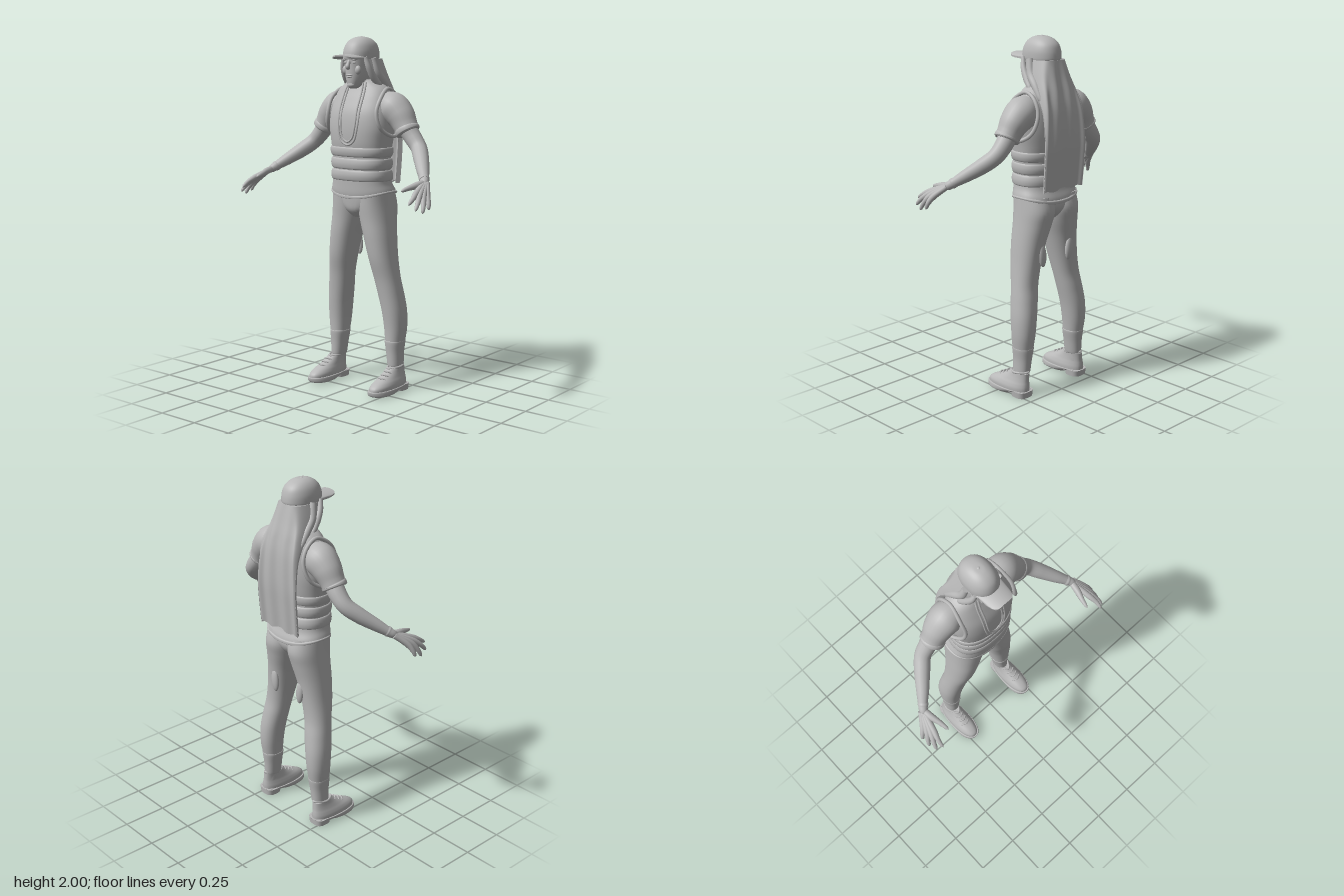
import * as THREE from 'three';

const grey = new THREE.MeshStandardMaterial({ color: 0xb8b8b8 });
grey.name = 'plain grey';

// Smooth interpolation through a list of equal-length rows
function sampleRows(rows, t) {
  const n = rows.length - 1, f = Math.min(t * n, n - 1e-6), i = Math.floor(f), u = f - i;
  const at = k => rows[Math.max(0, Math.min(n, k))];
  return rows[0].map((_, c) => {
    const a = at(i - 1)[c], b = at(i)[c], d = at(i + 1)[c], e = at(i + 2)[c];
    return b + 0.5 * u * (d - a + u * (2 * a - 5 * b + 4 * d - e + u * (3 * (b - d) + e - a)));
  });
}

// Skin a list of rings (counter-clockwise around the direction of travel), with caps
function skin(rings) {
  const pos = [], idx = [], n = rings[0].length, last = rings.length - 1;
  rings.forEach(r => r.forEach(p => pos.push(p.x, p.y, p.z)));
  for (let j = 0; j < last; j++) for (let i = 0; i < n; i++) {
    const a = j * n + i, b = j * n + (i + 1) % n;
    idx.push(a, b, a + n, b, b + n, a + n);
  }
  for (const j of [0, last]) {
    const base = pos.length / 3, c = new THREE.Vector3();
    rings[j].forEach(p => { pos.push(p.x, p.y, p.z); c.addScaledVector(p, 1 / n); });
    pos.push(c.x, c.y, c.z);
    for (let i = 0; i < n; i++) {
      const a = base + i, b = base + (i + 1) % n;
      if (j) idx.push(a, b, base + n); else idx.push(b, a, base + n);
    }
  }
  const g = new THREE.BufferGeometry();
  g.setAttribute('position', new THREE.Float32BufferAttribute(pos, 3));
  g.setIndex(idx);
  g.computeVertexNormals();
  return g;
}

// Upright form from rows [y, x0, x1, zBack, zFront]; s mirrors it
function loft(rows, { s = 1, p = 2.2, seg = 36, sub = 5, bend = null } = {}) {
  const rings = [], steps = (rows.length - 1) * sub;
  for (let k = 0; k <= steps; k++) {
    const [y, x0, x1, z0, z1] = sampleRows(rows, k / steps), ring = [];
    for (let i = 0; i < seg; i++) {
      const a = i / seg * Math.PI * 2, c = Math.cos(a), d = -Math.sin(a);
      const ex = Math.sign(c) * Math.abs(c) ** (2 / p), ez = Math.sign(d) * Math.abs(d) ** (2 / p);
      ring.push(new THREE.Vector3(s * (x0 + x1) / 2 + ex * (x1 - x0) / 2,
        y + (bend ? bend(ex, y) : 0), (z0 + z1) / 2 + ez * (z1 - z0) / 2));
    }
    rings.push(ring);
  }
  return skin(rings);
}

// Round limb through points [x, y, z, radius]
function limb(pts, s = 1, round = true, seg = 16) {
  const curve = new THREE.CatmullRomCurve3(pts.map(q => new THREE.Vector3(q[0] * s, q[1], q[2])));
  const steps = (pts.length - 1) * 7, rings = [], up = new THREE.Vector3(0.1, 0.3, 1);
  for (let k = 0; k <= steps; k++) {
    const t = k / steps, c = curve.getPoint(t), T = curve.getTangent(t);
    const N = up.clone().addScaledVector(T, -up.dot(T)).normalize(), B = T.clone().cross(N);
    const end = Math.max(0, (t - 0.86) / 0.14);
    const r = sampleRows(pts, t)[3] * (round ? Math.sqrt(Math.max(0.03, 1 - end * end)) : 1);
    rings.push(Array.from({ length: seg }, (_, i) => {
      const a = i / seg * Math.PI * 2;
      return c.clone().addScaledVector(N, r * Math.cos(a)).addScaledVector(B, r * Math.sin(a));
    }));
  }
  return skin(rings);
}

const tube = (pts, r, closed = false, n = 60) => new THREE.TubeGeometry(
  new THREE.CatmullRomCurve3(pts.map(q => new THREE.Vector3(...q)), closed), n, r, 8, closed);

// Torso rows: y, half width, back z, front z
const TORSO = [[1.10, .198, -.24, .022], [1.13, .192, -.235, .028], [1.18, .18, -.217, .03],
  [1.25, .174, -.21, .032], [1.35, .178, -.21, .033], [1.42, .186, -.22, .042], [1.5, .198, -.227, .042],
  [1.58, .195, -.228, .03], [1.65, .183, -.222, .002], [1.70, .163, -.205, -.022], [1.73, .13, -.19, -.035],
  [1.76, .075, -.165, -.045]];
function torsoAt(y) {
  let i = 0;
  while (i < TORSO.length - 2 && TORSO[i + 1][0] < y) i++;
  const a = TORSO[i], b = TORSO[i + 1], u = Math.max(0, Math.min(1, (y - a[0]) / (b[0] - a[0])));
  return a.map((v, k) => v + (b[k] - v) * u);
}
function chestZ(x, y) {
  const [, w, zb, zf] = torsoAt(y);
  return (zb + zf) / 2 + (zf - zb) / 2 * Math.max(0, 1 - Math.abs(x / w) ** 2.4) ** (1 / 2.4);
}

export function createModel() {
  const model = new THREE.Group();
  model.name = 'standingFigure';
  const add = (name, geo, parent = model) => {
    const m = new THREE.Mesh(geo, grey);
    m.name = name;
    parent.add(m);
    return m;
  };
  const ball = (name, x, y, z, a, b, c) => {
    const m = add(name, new THREE.SphereGeometry(1, 20, 14));
    m.position.set(x, y, z);
    m.scale.set(a, b, c);
    return m;
  };

  // Vest with a hem that rises at the sides
  const hem = (ex, y) => 0.035 * ex * ex * Math.max(0, Math.min(1, (1.2 - y) / 0.1));
  add('vest', loft(TORSO.map(([y, w, b, f]) => [y, -w, w, b, f]), { p: 2.4, seg: 48, bend: hem }));
  add('vestHem', loft([[1.098, .19, 0], [1.1, .2, .005], [1.113, .2, .005], [1.118, .19, 0]].map(
    ([y, w, e]) => [y, -w, w, -.24 - e, .022 + e]), { p: 2.4, seg: 48, bend: hem }));
  for (const [y0, y1] of [[1.2, 1.26], [1.265, 1.325], [1.335, 1.388]]) {
    add('vestBand', loft([[0, 0], [.1, .006], [.5, .01], [.9, .006], [1, 0]].map(([u, e]) => {
      const [y, w, b, f] = torsoAt(y0 + (y1 - y0) * u);
      return [y, -w - e, w + e, b - e, f + e];
    }), { p: 2.4, seg: 48, sub: 3 }));
  }
  for (const k of [0.82, 1.1]) {
    const half = [[.055, 1.745], [.063, 1.69], [.064, 1.6], [.06, 1.5], [.04, 1.43]];
    const path = [...half.map(([x, y]) => [-x, y]), [0, 1.408], ...half.slice().reverse()];
    add('neckTrim', tube(path.map(([x, y]) => {
      const yy = y < 1.5 ? y + (1 - k) * 0.06 : y;
      return [x * k, yy, chestZ(x * k, yy) + .001];
    }), 0.006));
  }

  // Neck and head
  add('neck', loft([[1.66, -.075, .075, -.18, -.03], [1.72, -.06, .06, -.165, -.03], [1.8, -.056, .056, -.16, -.03]]));
  add('collar', loft([[1.735, -.08, .08, -.18, -.035], [1.755, -.068, .068, -.172, -.026], [1.765, -.06, .06, -.165, -.03]]));
  add('head', loft([[1.712, .012, -.04, .006], [1.722, .03, -.065, .017], [1.75, .049, -.12, .023], [1.79, .064, -.16, .026],
    [1.84, .072, -.182, .027], [1.9, .077, -.19, .03]].map(([y, w, b, f]) => [y, -w, w, b, f])));
  add('nose', limb([[0, 1.872, .02, .009], [0, 1.845, .034, .011], [0, 1.832, .038, .013], [0, 1.822, .026, .011]]));
  ball('upperLip', 0, 1.787, .024, .022, .005, .008);
  ball('lowerLip', 0, 1.777, .022, .018, .006, .008);
  ball('chin', 0, 1.733, .008, .025, .016, .016);
  for (const s of [-1, 1]) {
    ball('eye', s * .03, 1.856, .019, .014, .006, .007);
    ball('brow', s * .032, 1.872, .02, .021, .005, .009);
    ball('cheek', s * .043, 1.815, .002, .02, .025, .016);
  }

  // Cap
  add('capCrown', loft([[1.872, .085, -.197, .032], [1.885, .087, -.2, .035], [1.92, .085, -.196, .03], [1.955, .074, -.183, .015],
    [1.98, .055, -.155, -.012], [1.994, .03, -.118, -.045], [1.997, .006, -.09, -.075]].map(
    ([y, w, b, f]) => [y, -w, w, b, f])));
  ball('capButton', 0, 1.995, -.083, .009, .005, .009);
  const brim = new THREE.BoxGeometry(2, 1, 1, 24, 1, 6), bp = brim.attributes.position;
  for (let i = 0; i < bp.count; i++) {
    const u = bp.getX(i), v = bp.getZ(i) + .5;
    const inner = -.09 + .115 * Math.sqrt(Math.max(0, 1 - u * u)), outer = -.05 + .162 * (1 - u ** 6) ** .5;
    bp.setXYZ(i, u * (.086 - .008 * v), 1.898 + .008 * bp.getY(i) - .02 * u * u - .004 * v, inner + (outer - inner) * v);
  }
  brim.computeVertexNormals();
  add('capBrim', brim);

  // Long hair falling down the back: rows y, half width, middle z, edge z
  const HAIR = [[1.875, .088, -.2, -.06], [1.79, .112, -.222, -.1], [1.70, .13, -.246, -.18], [1.60, .142, -.262, -.245],
    [1.45, .153, -.266, -.272], [1.32, .153, -.258, -.268], [1.18, .15, -.246, -.256]];
  const hair = new THREE.BoxGeometry(2, 1, 1, 48, 30, 1), hp = hair.attributes.position;
  for (let i = 0; i < hp.count; i++) {
    const u = hp.getX(i), t = .5 - hp.getY(i), [y, w, zm, ze] = sampleRows(HAIR, t), inner = hp.getZ(i) + .5;
    const wave = .006 * Math.cos(u * 13) * Math.min(1, t * 3), wrap = Math.abs(u) ** (4 - 1.5 * t);
    hp.setXYZ(i, w * Math.sin(u * Math.PI / 2) * (1 - .1 * inner), y + .006 * Math.cos(u * 9) * t,
      zm + (ze - zm) * wrap + wave + .022 * inner);
  }
  hair.computeVertexNormals();
  add('longHair', hair);

  for (const s of [-1, 1]) {
    const side = new THREE.Group();
    side.name = s > 0 ? 'leftLimbs' : 'rightLimbs';
    model.add(side);
    const put = (name, geo) => add(name, geo, side);

    // Hair strands beside the face
    put('hairStrand', limb([[.078, 1.885, -.02, .012], [.09, 1.83, -.035, .017], [.1, 1.77, -.07, .02], [.118, 1.715, -.12, .014]], s));
    put('hairStrand', limb([[.085, 1.88, -.08, .02], [.098, 1.8, -.1, .024], [.113, 1.74, -.15, .022], [.125, 1.66, -.21, .014]], s));

    // Sleeve, arm and hand
    put('armholeTrim', tube([[.158, 1.712, -.12], [.172, 1.66, -.035], [.172, 1.58, .002], [.187, 1.5, -.015],
      [.212, 1.452, -.1], [.19, 1.5, -.195], [.165, 1.6, -.22], [.16, 1.68, -.185]].map(([x, y, z]) => [x * s, y, z]), .011, true));
    put('sleeve', limb([[.12, 1.63, -.12, .07], [.19, 1.606, -.125, .09], [.245, 1.562, -.125, .081],
      [.278, 1.515, -.122, .069], [.296, 1.484, -.12, .066]], s, false, 24));
    put('sleeveCuff', limb([[.289, 1.498, -.121, .066], [.293, 1.491, -.12, .07], [.299, 1.48, -.12, .069], [.302, 1.475, -.12, .064]], s, false, 24));
    put('arm', limb([[.28, 1.51, -.122, .052], [.33, 1.447, -.125, .049], [.375, 1.397, -.115, .045], [.425, 1.347, -.068, .043],
      [.49, 1.287, .005, .034], [.535, 1.247, .055, .025], [.56, 1.222, .09, .025]], s));
    put('wristBand', limb([[.523, 1.258, .042, .027], [.529, 1.252, .049, .029], [.536, 1.246, .056, .027]], s, false));
    const fingers = [[[.575, 1.192, .185], [.588, 1.168, .232], [.59, 1.142, .272]],
      [[.592, 1.18, .178], [.612, 1.146, .222], [.62, 1.112, .252]],
      [[.603, 1.172, .158], [.624, 1.13, .188], [.632, 1.094, .205]],
      [[.606, 1.174, .128], [.627, 1.138, .146], [.634, 1.108, .155]]];
    fingers.forEach(([a, b, c], i) => put('finger', limb([[.549 + i * .004, 1.233, .066 + (3 - i) * .003, .015],
      [...a, .0165], [...b, .0125], [...c, .009]].map(q => q.flat()), s, true, 12)));
    put('thumb', limb([[.545, 1.235, .075, .018], [.538, 1.226, .125, .019], [.524, 1.215, .18, .014], [.514, 1.203, .233, .009]], s, true, 12));

    // Leg, ankle cuff and seat patch
    put('leg', loft([[.27, .152, .254, -.2, -.08], [.36, .142, .264, -.214, -.076], [.46, .128, .264, -.215, -.066], [.56, .108, .252, -.203, -.054],
      [.65, .09, .238, -.19, -.04], [.76, .066, .222, -.193, -.016], [.88, .036, .208, -.207, -.003], [.98, .008, .196, -.228, .002],
      [1.06, -.005, .188, -.243, .008], [1.14, 0, .18, -.225, .012]], { s }));
    put('ankleCuff', loft([[.14, .172, .248, -.187, -.088], [.15, .168, .25, -.19, -.085], [.22, .158, .251, -.196, -.082],
      [.28, .148, .257, -.204, -.077], [.288, .152, .253, -.2, -.081]], { s }));
    put('ankle', loft([[.09, .178, .25, -.187, -.06], [.15, .18, .244, -.182, -.092]], { s }));
    const patch = ball('thighPatch', s * .105, .81, -.196, .026, .068, .016);
    patch.rotation.z = -s * .08;

    // Shoe
    put('shoeUpper', loft([[.02, .164, .278, -.195, .098], [.05, .163, .28, -.197, .097], [.072, .168, .274, -.196, .068],
      [.092, .174, .265, -.194, .02], [.115, .178, .257, -.193, -.03], [.138, .179, .252, -.192, -.065]], { s, p: 2.3 }));
    put('shoeSole', loft([[.004, .166, .276, -.1, .085], [.012, .158, .284, -.11, .102], [.034, .156, .286, -.2, .108], [.036, .164, .278, -.195, .1]],
      { s, p: 2.3 }));
    put('shoeHeel', loft([[0, .168, .272, -.2, -.1], [.035, .164, .276, -.203, -.095]], { s, p: 3 }));
    put('shoeCollar', tube([[.178, .14, -.13], [.215, .135, -.062], [.252, .14, -.13], [.215, .148, -.192]].map(
      ([x, y, z]) => [x * s, y, z]), .007, true));
    for (let i = 0; i < 3; i++) {
      const y = .094 + i * .014, z = .014 - i * .027;
      put('shoeLace', tube([[-.028, y - .004, z - .012], [0, y + .003, z + .003], [.028, y - .004, z - .012]].map(
        ([x, yy, zz]) => [s * .22 + x, yy, zz]), .005, false, 12));
    }
  }

  // Pelvis joining the legs
  add('pelvis', loft([[.99, -.035, .035, -.16, -.03], [1.03, -.1, .1, -.205, .003], [1.08, -.165, .165, -.228, .012], [1.15, -.18, .18, -.22, .015]]));
  return model;
}
